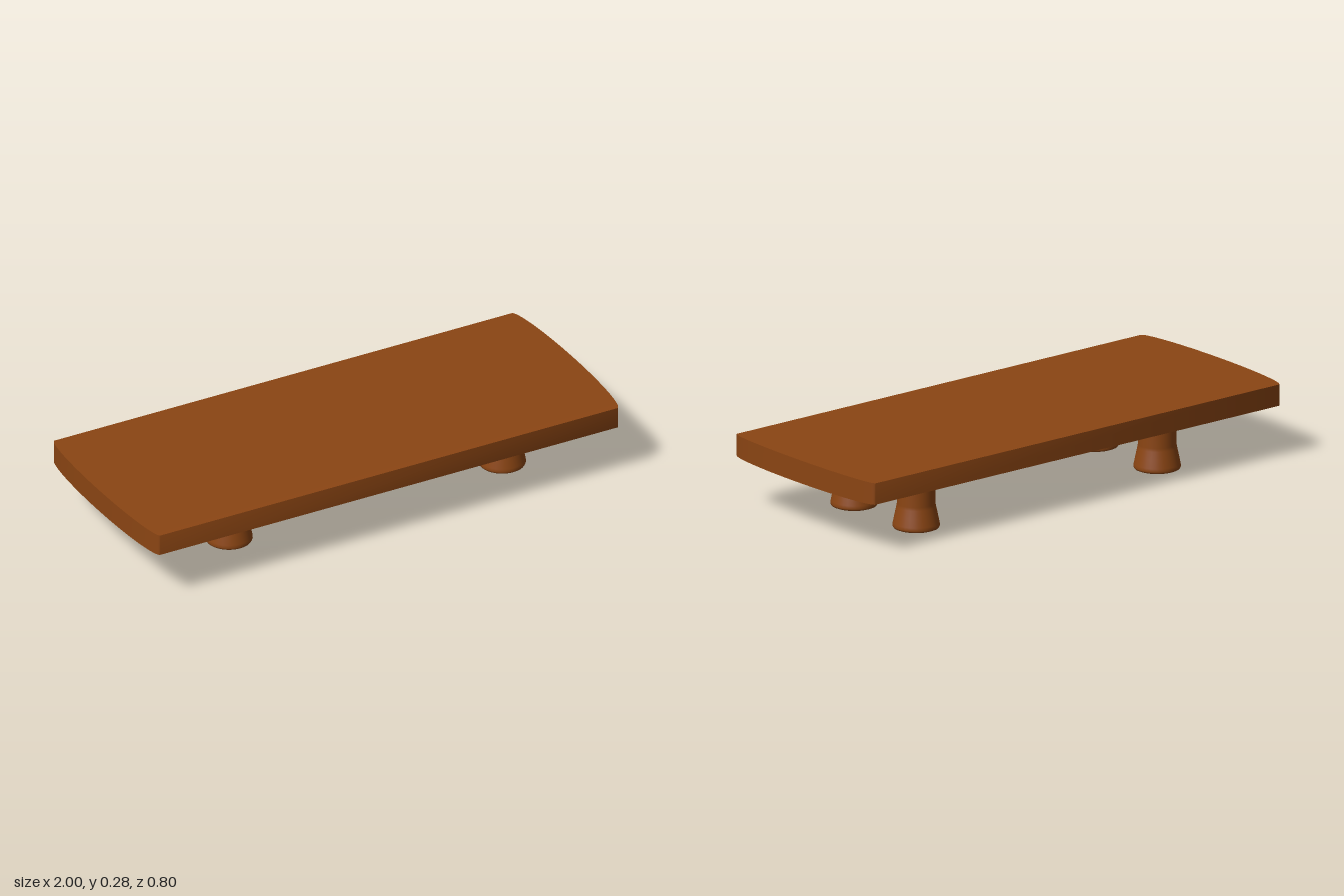
import * as THREE from 'three';
import { toCreasedNormals } from 'three/addons/utils/BufferGeometryUtils.js';

const wood = new THREE.MeshStandardMaterial({ color: 0x8b4513 });

// Plank with elliptically bowed ends and a very slight crown above and below
function plankGeometry() {
  const geo = new THREE.BoxGeometry(2, 2, 2, 1, 1, 32);
  const p = geo.attributes.position;
  for (let i = 0; i < p.count; i++) {
    const angle = p.getZ(i) * Math.PI / 2;
    const bow = Math.cos(angle);
    p.setXYZ(i,
      p.getX(i) * (0.963 + 0.037 * bow),
      0.239 + p.getY(i) * (0.041 + 0.003 * bow),
      0.4 * Math.sin(angle));
  }
  return toCreasedNormals(geo, 0.6);
}

// Round leg: straight shaft flaring to a foot with a rounded rim
function legGeometry() {
  const profile = [
    [0, 0], [0.05, 0.001], [0.075, 0.004], [0.085, 0.008], [0.088, 0.015],
    [0.086, 0.026], [0.079, 0.06], [0.073, 0.088], [0.071, 0.1], [0.071, 0.2],
  ].map(([r, y]) => new THREE.Vector2(r, y));
  return new THREE.LatheGeometry(profile, 32);
}

export function createModel() {
  const model = new THREE.Group();
  model.name = 'lowTable';

  const top = new THREE.Mesh(plankGeometry(), wood);
  top.name = 'tableTop';
  model.add(top);

  // Four legs, set slightly off centre under the top
  const leg = legGeometry();
  for (const [side, x] of [['Right', -0.523], ['Left', 0.628]]) {
    for (const [end, z] of [['front', 0.129], ['back', -0.229]]) {
      const mesh = new THREE.Mesh(leg, wood);
      mesh.name = `${end}${side}Leg`;
      mesh.position.set(x, 0, z);
      model.add(mesh);
    }
  }
  return model;
}
